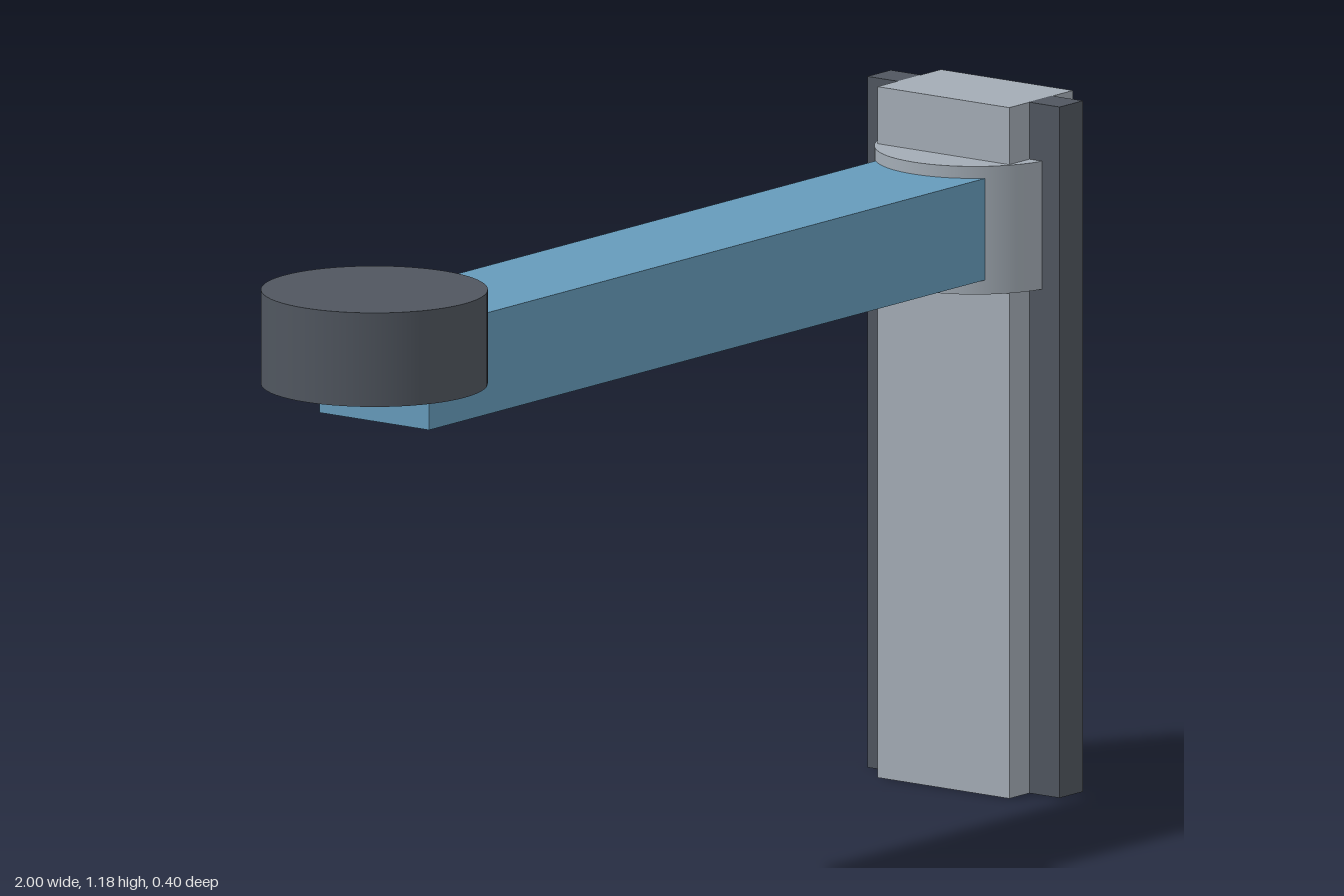
import * as THREE from 'three';

export function createModel() {
  const model = new THREE.Group();
  model.name = 'columnArm';

  const material = (name, color) => {
    const m = new THREE.MeshStandardMaterial({ color });
    m.name = name;
    return m;
  };
  const lightGrey = material('lightGrey', 0xa3acb5);
  const darkGrey = material('darkGrey', 0x50565f);
  const blue = material('blue', 0x669bbb);

  const add = (name, geometry, mat, x, y, z) => {
    const mesh = new THREE.Mesh(geometry, mat);
    mesh.name = name;
    mesh.position.set(x, y, z);
    model.add(mesh);
  };

  const columnX = 0.831, headX = -0.811, height = 1.176;

  // Upright column with a guide rail on each side
  add('column', new THREE.BoxGeometry(0.174, height, 0.277), lightGrey, columnX, height / 2, 0);
  for (const side of [1, -1]) {
    const name = side > 0 ? 'frontRail' : 'backRail';
    add(name, new THREE.BoxGeometry(0.064, height, 0.066), darkGrey, columnX, height / 2, side * 0.169);
  }

  // Round collar that carries the arm
  add('collar', new THREE.CylinderGeometry(0.168, 0.168, 0.218, 64), lightGrey, columnX, 0.97, 0);

  // Horizontal arm from the collar to the head
  add('arm', new THREE.BoxGeometry(columnX - headX, 0.173, 0.23), blue, (columnX + headX) / 2, 0.972, 0);

  // Round head at the free end
  add('head', new THREE.CylinderGeometry(0.189, 0.189, 0.16, 64), darkGrey, headX, 1.03, 0);

  return model;
}
